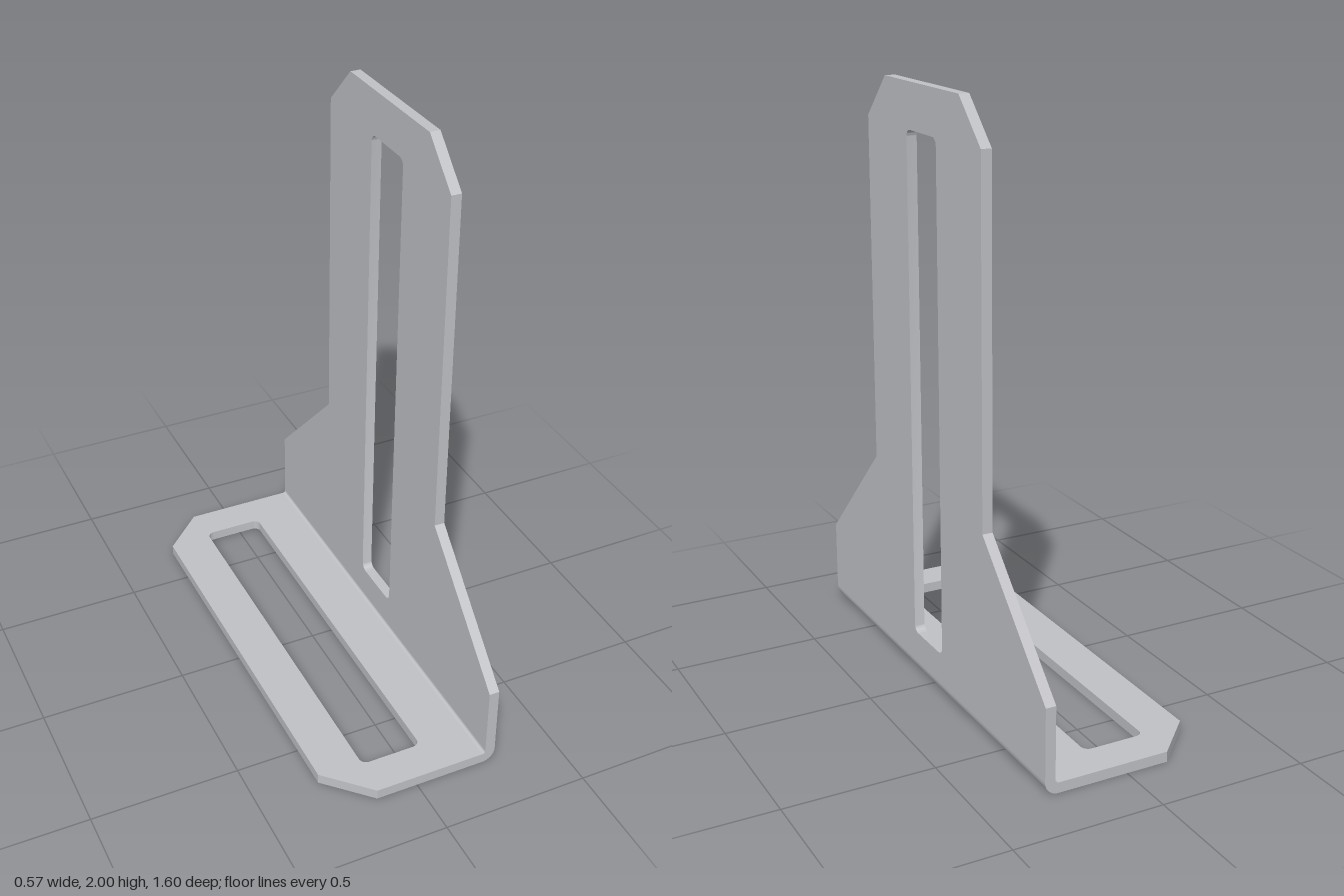
import * as THREE from 'three';
import { toCreasedNormals } from 'three/addons/utils/BufferGeometryUtils.js';

const T = 0.035;        // sheet thickness
const OUT = 0.285;      // outer face of the wall, and half the overall width
const R_IN = 0.01;      // inner bend radius
const R_OUT = R_IN + T; // outer bend radius
const HALF = 0.8;       // half length of the bend

// Rounded rectangular slot
function slot(x0, y0, x1, y1, r) {
  const p = new THREE.Path();
  p.moveTo(x0 + r, y0);
  p.absarc(x1 - r, y0 + r, r, -Math.PI / 2, 0);
  p.absarc(x1 - r, y1 - r, r, 0, Math.PI / 2);
  p.absarc(x0 + r, y1 - r, r, Math.PI / 2, Math.PI);
  p.absarc(x0 + r, y0 + r, r, Math.PI, Math.PI * 1.5);
  return p;
}

function extrude(shape, depth) {
  const g = new THREE.ExtrudeGeometry(shape, { depth, bevelEnabled: false, curveSegments: 8 });
  return toCreasedNormals(g, Math.PI / 6);
}

const outline = (pts) => new THREE.Shape(pts.map(([x, y]) => new THREE.Vector2(x, y)));

export function createModel() {
  const model = new THREE.Group();
  model.name = 'slottedAngleBracket';
  const steel = new THREE.MeshStandardMaterial({ color: 0xc0c1c5 });
  steel.name = 'lightGreySteel';

  const add = (name, geometry) => {
    const mesh = new THREE.Mesh(geometry, steel);
    mesh.name = name;
    model.add(mesh);
  };

  // Upright wall: flared foot, chamfered top, long vertical slot
  const side = [[HALF, R_OUT], [HALF, 0.29], [0.4, 0.688], [0.4, 1.86], [0.26, 2]];
  const mirrored = side.map(([x, y]) => [-x, y]).reverse();
  const wall = outline([...side, ...mirrored]);
  wall.holes.push(slot(-0.105, 0.153, 0.105, 1.852, 0.025));
  add('uprightWall', extrude(wall, T).rotateY(Math.PI / 2).translate(OUT - T, 0, 0));

  // Base flange: chamfered free corners, long slot
  const bendX = OUT - R_OUT;
  const base = outline([
    [bendX, -HALF], [bendX, HALF], [-0.143, HALF], [-OUT, 0.658],
    [-OUT, -0.658], [-0.143, -HALF],
  ]);
  base.holes.push(slot(-0.135, -0.675, 0.076, 0.675, 0.025));
  add('baseFlange', extrude(base, T).rotateX(-Math.PI / 2));

  // Rounded bend joining the two plates
  const bend = new THREE.Shape();
  bend.absarc(bendX, R_OUT, R_OUT, -Math.PI / 2, 0, false);
  bend.absarc(bendX, R_OUT, R_IN, 0, -Math.PI / 2, true);
  add('bend', extrude(bend, HALF * 2).translate(0, 0, -HALF));

  return model;
}
